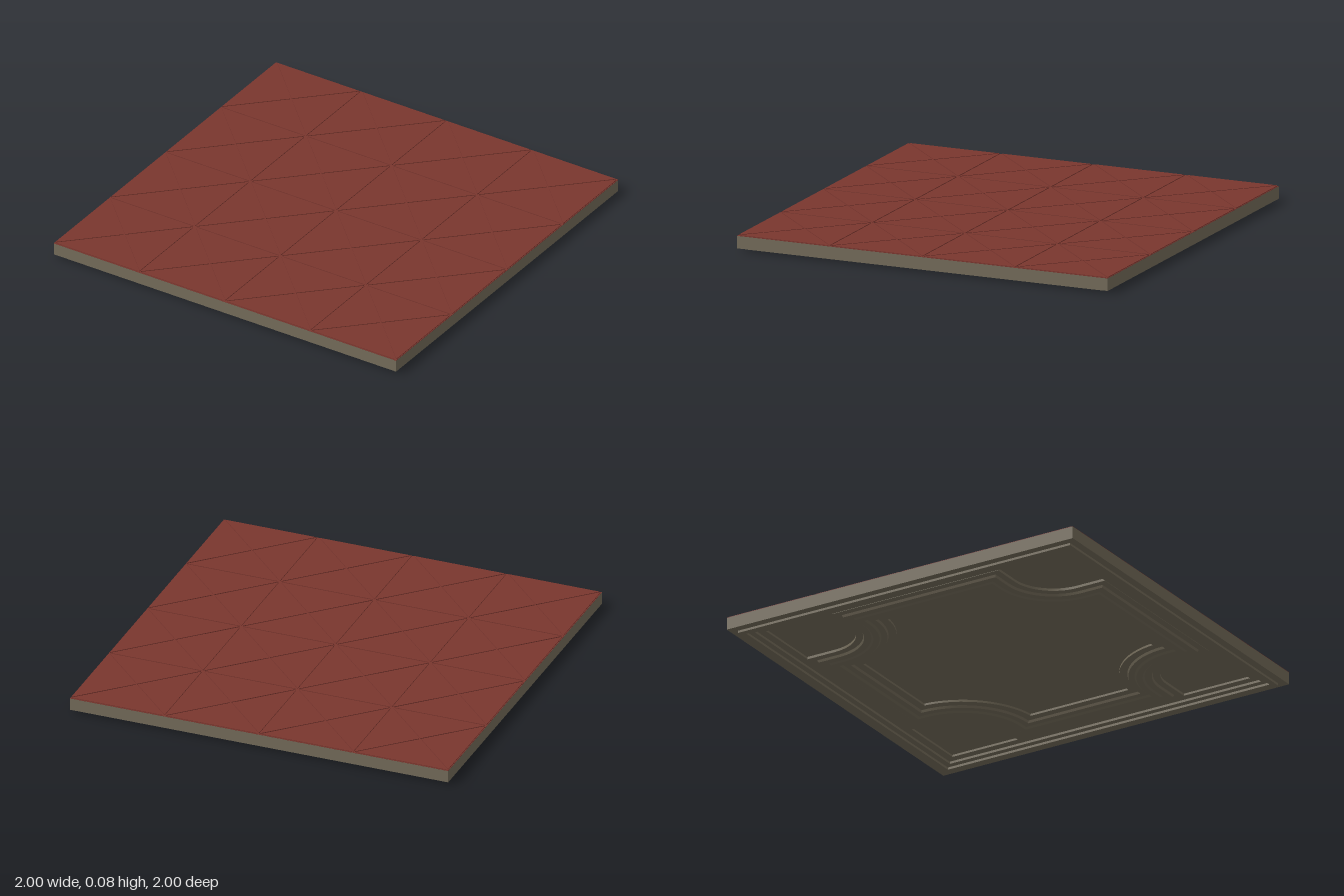
import * as THREE from 'three';
import { toCreasedNormals } from 'three/addons/utils/BufferGeometryUtils.js';

const FLOOR = 0.035; // height of the recessed underside

// Repeat one quadrant of [x, z] points around the centre
function fourfold(quadrant) {
  const ring = [];
  for (let q = 0; q < 4; q++) {
    for (let [x, z] of quadrant) {
      for (let k = 0; k < q; k++) [x, z] = [-z, x];
      ring.push([x, z]);
    }
  }
  return ring;
}

const squareRing = (offset) => fourfold([[1 - offset, 1 - offset]]);

// Square with small ears and a concave arc at every corner
function notchedRing(offset) {
  const side = 0.86 - offset, c = 0.7, r = 0.22 + offset, steps = 16;
  const cos = Math.min(0, (side - c) / r);
  const a0 = 2 * Math.PI - Math.acos(cos);
  const a1 = 2.5 * Math.PI - a0;
  const arc = [];
  for (let i = 0; i <= steps; i++) {
    const a = a0 + ((a1 - a0) * i) / steps;
    arc.push([c + r * Math.cos(a), c + r * Math.sin(a)]);
  }
  const ear = arc[0][1];
  return fourfold([[side, ear], ...arc, [ear, side]]);
}

// Sweep a moulding profile of [inward offset, height] around a ring
function moulding(ringAt, profile) {
  const rings = profile.map(([offset, y]) => ringAt(offset).map(([x, z]) => [x, y, z]));
  const n = rings[0].length;
  const pos = [];
  for (let j = 0; j < rings.length - 1; j++) {
    for (let i = 0; i < n; i++) {
      const k = (i + 1) % n;
      const a = rings[j][i], b = rings[j][k], c = rings[j + 1][k], d = rings[j + 1][i];
      pos.push(...a, ...b, ...c, ...a, ...c, ...d);
    }
  }
  const geo = new THREE.BufferGeometry();
  geo.setAttribute('position', new THREE.Float32BufferAttribute(pos, 3));
  return toCreasedNormals(geo, 0.4);
}

export function createModel() {
  const model = new THREE.Group();
  const stone = new THREE.MeshStandardMaterial({ color: 0x756d5b });
  stone.name = 'stone';
  const redTile = new THREE.MeshStandardMaterial({ color: 0x7a362e });
  redTile.name = 'redTile';

  const add = (name, geo, mat, y = 0, parent = model) => {
    const mesh = new THREE.Mesh(geo, mat);
    mesh.name = name;
    mesh.position.y = y;
    parent.add(mesh);
    return mesh;
  };

  // Slab and the red bed that shows in the grooves
  add('slab', new THREE.BoxGeometry(2, 0.075 - FLOOR, 2), stone, (0.075 + FLOOR) / 2);
  add('tileBed', new THREE.BoxGeometry(2, 0.002, 2), redTile, 0.0755);

  // Stepped square frame around the underside
  add('edgeFrame', moulding(squareRing, [
    [0, FLOOR], [0, 0.012], [0.04, 0.012], [0.04, 0], [0.07, 0], [0.07, 0.012],
    [0.1, 0.012], [0.1, 0.024], [0.14, 0.024], [0.14, FLOOR],
  ]), stone);

  // Stepped moulding with concave corners around the centre panel
  add('panelMoulding', moulding(notchedRing, [
    [0, FLOOR], [0, 0.022], [0.035, 0.022], [0.04, 0.01], [0.075, 0.01], [0.085, 0.003],
    [0.115, 0.003], [0.125, 0.012], [0.155, 0.012], [0.16, 0.024], [0.2, 0.024], [0.2, FLOOR],
  ]), stone);

  // Triangular floor tiles: four to each square, shrunk to leave grooves
  const half = 0.25, inradius = half * (Math.SQRT2 - 1), gap = 0.004;
  const s = 1 - gap / inradius;
  const inset = (x, y) => new THREE.Vector2(x * s, (y - half + inradius) * s + half - inradius);
  // The triangle's base lies on the square's edge, its apex at the centre
  const triangle = new THREE.Shape([inset(-half, half), inset(0, 0), inset(half, half)]);
  const tileGeo = new THREE.ExtrudeGeometry(triangle, { depth: 0.0035, bevelEnabled: false });
  tileGeo.rotateX(-Math.PI / 2);

  const tiles = new THREE.Group();
  tiles.name = 'floorTiles';
  model.add(tiles);
  for (let row = 0; row < 4; row++) {
    for (let col = 0; col < 4; col++) {
      for (let q = 0; q < 4; q++) {
        const tile = add('tile', tileGeo, redTile, 0.0765, tiles);
        tile.position.x = -0.75 + col * 0.5;
        tile.position.z = -0.75 + row * 0.5;
        tile.rotation.y = (q * Math.PI) / 2;
      }
    }
  }
  return model;
}
